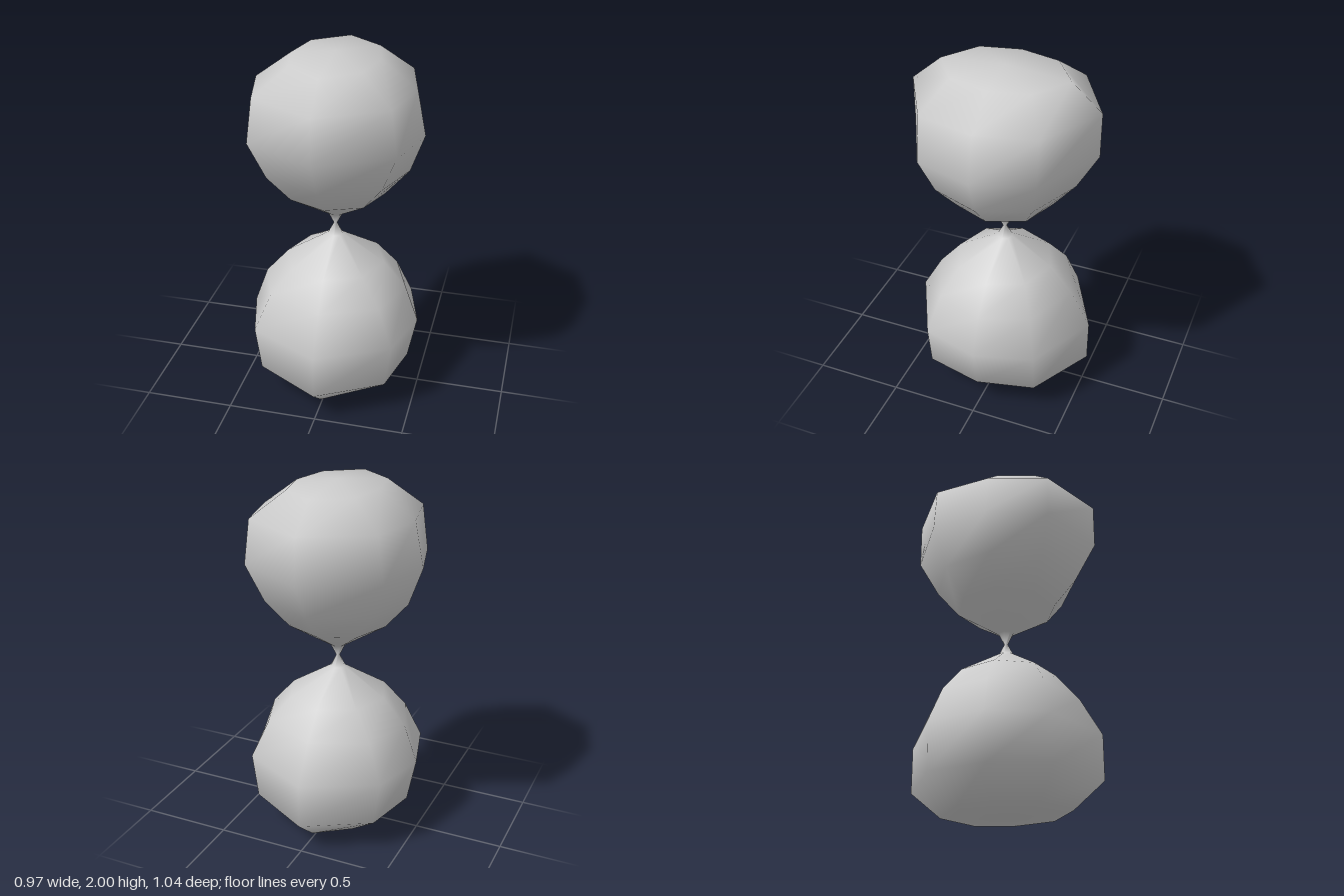
import * as THREE from 'three';

// Half profile of the glass, from neck to cap:
// [height above neck, x radius, diagonal x, diagonal z, z radius]
const RINGS = [
  [0.065, 0.042, 0.03, 0.03, 0.042],
  [0.215, 0.28, 0.2, 0.2, 0.28],
  [0.365, 0.41, 0.31, 0.27, 0.405],
  [0.575, 0.485, 0.393, 0.323, 0.522],
  [0.826, 0.435, 0.36, 0.32, 0.522],
  [0.972, 0.24, 0.19, 0.22, 0.355],
];
const NECK = [0, 0.01, 0.007, 0.007, 0.01];
const SIDES = 8;

// Eight points of one ring, running from +x towards +z
function ringPoints([h, rx, dx, dz, rz]) {
  const y = 1 + h;
  return [
    [rx, y, 0], [dx, y, dz], [0, y, rz], [-dx, y, dz],
    [-rx, y, 0], [-dx, y, -dz], [0, y, -rz], [dx, y, -dz],
  ];
}

function buildGlass() {
  const lower = RINGS.map(([h, ...r]) => [-h, ...r]).reverse();
  const rings = [...lower, NECK, ...RINGS];
  const positions = rings.flatMap((r) => ringPoints(r).flat());
  const index = [];

  // Walls between neighbouring rings
  for (let k = 0; k < rings.length - 1; k++) {
    for (let i = 0; i < SIDES; i++) {
      const j = (i + 1) % SIDES;
      const a = k * SIDES + i, b = k * SIDES + j;
      const c = a + SIDES, d = b + SIDES;
      index.push(a, c, b, b, c, d);
    }
  }

  // Shallow pointed caps at the bottom and the top
  const bottom = rings.length * SIDES, top = bottom + 1;
  positions.push(0, 0, 0, 0, 2, 0);
  const last = (rings.length - 1) * SIDES;
  for (let i = 0; i < SIDES; i++) {
    const j = (i + 1) % SIDES;
    index.push(bottom, i, j, top, last + j, last + i);
  }

  const geometry = new THREE.BufferGeometry();
  geometry.setAttribute('position', new THREE.Float32BufferAttribute(positions, 3));
  geometry.setIndex(index);
  geometry.computeVertexNormals();
  return geometry;
}

export function createModel() {
  const grey = new THREE.MeshStandardMaterial({ color: 0xcccccc });
  grey.name = 'light grey';

  const glass = new THREE.Mesh(buildGlass(), grey);
  glass.name = 'hourglassBulbs';

  const group = new THREE.Group();
  group.name = 'hourglass';
  group.add(glass);
  return group;
}
